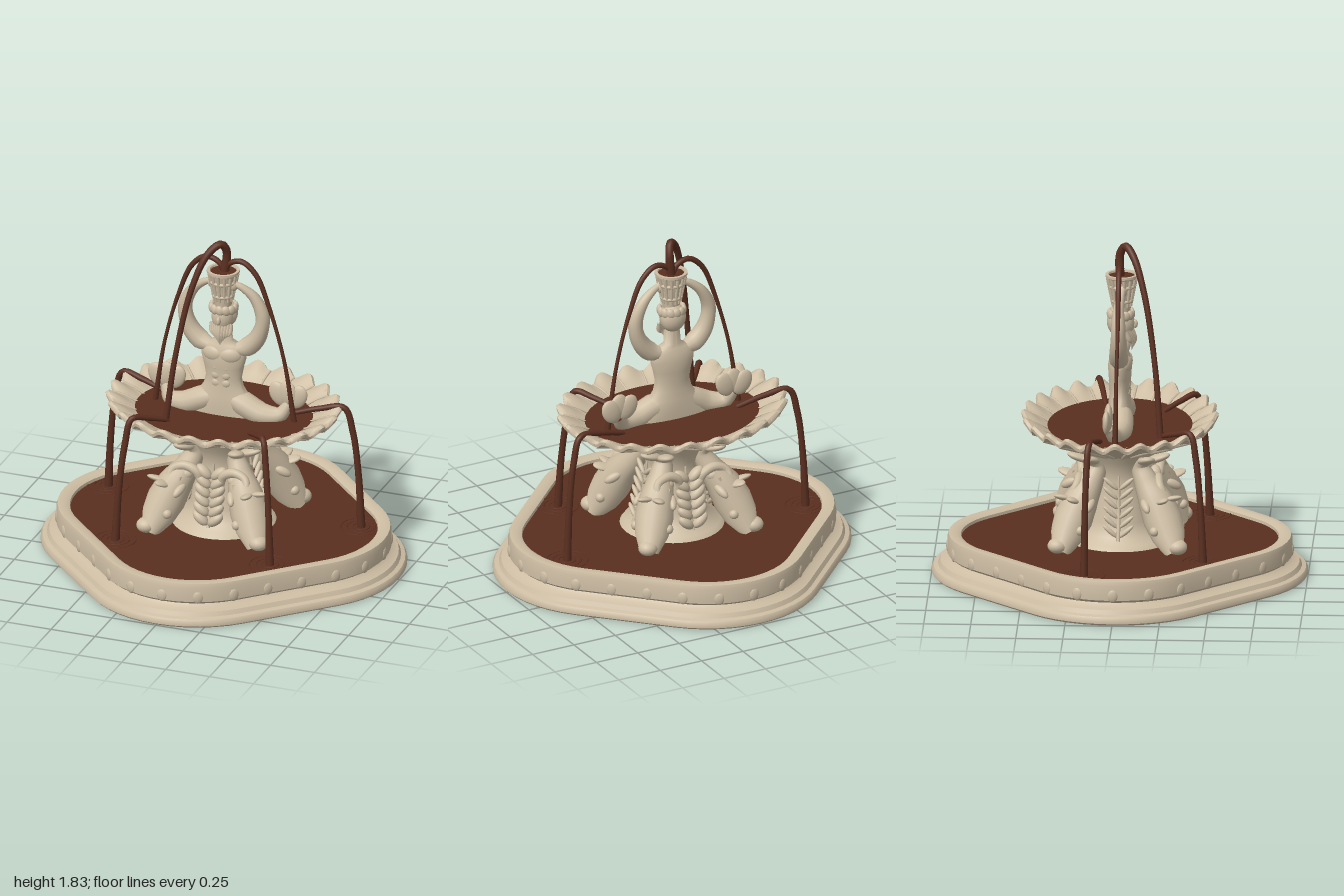
import * as THREE from 'three';
import { toCreasedNormals } from 'three/addons/utils/BufferGeometryUtils.js';

const stone = new THREE.MeshStandardMaterial({ color: 0xcdbda3 });
const water = new THREE.MeshStandardMaterial({ color: 0x5a2f20 });
const V = (p) => new THREE.Vector3(...p);

function add(parent, name, geo, mat = stone) {
  const m = new THREE.Mesh(geo, mat);
  m.name = name;
  parent.add(m);
  return m;
}

function group(parent, name) {
  const g = new THREE.Group();
  g.name = name;
  parent.add(g);
  return g;
}

// Ellipsoid with centre p, half sizes r and optional rotation
function ball(parent, name, p, r, rot = [0, 0, 0]) {
  const m = add(parent, name, new THREE.SphereGeometry(1, 18, 12));
  m.position.set(...p);
  m.scale.set(...r);
  m.rotation.set(...rot);
  return m;
}

// Tube through points whose radius follows a list of values
function tube(parent, name, pts, radii, mat = stone, seg = 36, sides = 12) {
  const curve = new THREE.CatmullRomCurve3(pts.map(V));
  const geo = new THREE.TubeGeometry(curve, seg, 1, sides);
  const pos = geo.attributes.position, v = new THREE.Vector3();
  for (let i = 0; i <= seg; i++) {
    const c = curve.getPointAt(i / seg);
    const f = (i / seg) * (radii.length - 1), k = Math.min(Math.floor(f), radii.length - 2);
    const r = THREE.MathUtils.lerp(radii[k], radii[k + 1], f - k);
    for (let j = 0; j <= sides; j++) {
      const n = i * (sides + 1) + j;
      v.fromBufferAttribute(pos, n).sub(c).multiplyScalar(r).add(c);
      pos.setXYZ(n, v.x, v.y, v.z);
    }
  }
  return add(parent, name, geo, mat);
}

// Surface from fn(u, row), u running once around the y axis
function loft(fn, nu, rows, crease = 0.6) {
  const pos = [], idx = [];
  for (let j = 0; j < rows; j++)
    for (let i = 0; i <= nu; i++) pos.push(...fn((i % nu) / nu, j));
  for (let j = 0; j < rows - 1; j++)
    for (let i = 0; i < nu; i++) {
      const a = j * (nu + 1) + i, c = a + nu + 2;
      idx.push(a, a + 1, c, a, c, c - 1);
    }
  const geo = new THREE.BufferGeometry();
  geo.setAttribute('position', new THREE.Float32BufferAttribute(pos, 3));
  geo.setIndex(idx);
  return toCreasedNormals(geo, crease);
}

// Rounded diamond outline reaching "reach" along x and z
function outline(u, reach) {
  const k = Math.round(u * 4), f = u * 4 - k, axis = k * Math.PI / 2;
  const a = axis + THREE.MathUtils.clamp(f / 0.3, -1, 1) * Math.PI / 4;
  const along = Math.sign(f) * Math.max(0, Math.abs(f) - 0.3) / 0.2 * 0.276, rho = reach - 0.39;
  return [0.39 * Math.sin(axis) + rho * Math.sin(a) + along * Math.cos(a),
    0.39 * Math.cos(axis) + rho * Math.cos(a) - along * Math.sin(a), a];
}

function basin(root) {
  const g = group(root, 'basin');
  const prof = [[0.99, 0], [1, 0.01], [1, 0.03], [0.99, 0.045], [0.967, 0.052], [0.955, 0.075], [0.915, 0.085],
    [0.9, 0.1], [0.917, 0.115], [0.917, 0.195], [0.91, 0.218], [0.87, 0.222], [0.845, 0.21], [0.835, 0.1]];
  add(g, 'basinWall', loft((u, j) => {
    const [x, z] = outline(u, prof[j][0]);
    return [x, prof[j][1], z];
  }, 80, prof.length));
  const disc = (reach, y, scales) => loft((u, j) => {
    const [x, z] = outline(u, reach);
    return [x * scales[j], y, z * scales[j]];
  }, 80, 2);
  add(g, 'basinUnderside', disc(0.99, 0, [0, 1]));
  add(g, 'poolWater', disc(0.842, 0.195, [1, 0]), water);
  for (let i = 0; i < 28; i++) {
    const [x, z, a] = outline(i / 28, 0.912);
    ball(g, 'rimBoss', [x, 0.14, z], [0.028, 0.036, 0.012], [0, a, 0]);
  }
}

function bowl(root) {
  const g = group(root, 'shellBowl');
  const prof = [[0, 0.69], [0.33, 0.69], [0.37, 0.705], [0.65, 0.775], [0.9, 0.832], [1, 0.85],
    [1.005, 0.868], [0.98, 0.88], [0.93, 0.868], [0.85, 0.845], [0.76, 0.81], [0.5, 0.76]];
  add(g, 'scallopedShell', loft((u, j) => {
    const [t, y] = prof[j], a = u * Math.PI * 2;
    const wave = Math.cos(24 * a) * (j > 8 ? t ** 8 : t * t);
    const r = t * (1 + 0.025 * wave);
    return [0.625 * r * Math.sin(a), y + 0.02 * wave, 0.51 * r * Math.cos(a)];
  }, 240, prof.length, 0.9));
  // Ribs under and inside the shell
  for (let i = 0; i < 24; i++) {
    const a = (i + 0.5) / 24 * Math.PI * 2, p = (t, y) => [0.625 * t * Math.sin(a), y, 0.51 * t * Math.cos(a)];
    tube(g, 'outerRib', [p(0.36, 0.7), p(0.65, 0.765), p(0.97, 0.835)], [0.008, 0.01, 0.01], stone, 6, 6);
    tube(g, 'innerRib', [p(0.74, 0.81), p(0.85, 0.842), p(0.95, 0.86)], [0.006, 0.007, 0.007], stone, 6, 6);
  }
  const w = add(g, 'bowlWater', new THREE.CircleGeometry(1, 64).rotateX(-Math.PI / 2), water);
  w.scale.set(0.485, 1, 0.385);
  w.position.y = 0.822;
}

function pedestal(root) {
  const g = group(root, 'pedestal');
  const prof = [[0.29, 0.18], [0.26, 0.22], [0.2, 0.25], [0.175, 0.32], [0.155, 0.45], [0.14, 0.54],
    [0.15, 0.6], [0.17, 0.65], [0.2, 0.7]];
  add(g, 'column', new THREE.LatheGeometry(prof.map((p) => new THREE.Vector2(...p)), 40));
  // Diving fish at the four diagonals
  for (let i = 0; i < 4; i++) {
    const f = group(g, 'fish');
    f.rotation.y = Math.PI / 4 + i * Math.PI / 2;
    tube(f, 'fishBody', [[0.43, 0.2, 0], [0.385, 0.28, 0], [0.34, 0.36, 0], [0.285, 0.45, 0], [0.205, 0.55, 0],
      [0.16, 0.63, 0], [0.2, 0.69, 0]], [0.05, 0.09, 0.104, 0.094, 0.072, 0.052, 0.03], stone, 40, 18);
    ball(f, 'fishSnout', [0.45, 0.24, 0], [0.055, 0.042, 0.052]);
    for (const s of [-1, 1]) {
      ball(f, 'fishEye', [0.37, 0.325, s * 0.092], [0.026, 0.026, 0.024]);
      ball(f, 'fishTail', [0.25, 0.68, s * 0.04], [0.075, 0.022, 0.045], [0, -s * 0.5, 0.35]);
      // Leafy fins on the back and flanks
      ball(f, 'backFin', [0.365, 0.48, s * 0.032], [0.065, 0.016, 0.034], [s * 0.3, -s * 0.4, 0.4]);
      ball(f, 'sideFin', [0.3, 0.45, s * 0.092], [0.05, 0.024, 0.022], [0, -s * 0.4, -0.5]);
    }
  }
  // Leaf garlands between the fish, fuller with scrolls at front and back
  for (let i = 0; i < 4; i++) {
    const l = group(g, 'garland'), full = i % 2 === 0;
    l.rotation.y = i * Math.PI / 2;
    tube(l, 'garlandStem', [[0, 0.24, 0.235], [0, 0.4, 0.175], [0, 0.58, 0.15]], [0.01, 0.012, 0.006], stone, 10, 8);
    for (let k = 0; k < 6; k++)
      for (const s of [-1, 1])
        ball(l, 'leaf', [s * 0.042, 0.29 + k * 0.05, (full ? 0.235 : 0.215) - k * 0.01],
          full ? [0.028, 0.052, 0.032] : [0.013, 0.05, 0.014], [0, 0, -s * 0.85]);
    if (!full) continue;
    for (const s of [-1, 1]) {
      tube(l, 'scroll', [[s * 0.06, 0.47, 0.19], [s * 0.075, 0.54, 0.205], [s * 0.14, 0.57, 0.21], [s * 0.205, 0.545, 0.22],
        [s * 0.215, 0.5, 0.245], [s * 0.165, 0.485, 0.255], [s * 0.15, 0.52, 0.25]],
        [0.014, 0.024, 0.026, 0.024, 0.022, 0.018, 0.006], stone, 30, 10);
      ball(l, 'scrollBud', [s * 0.14, 0.52, 0.2], [0.04, 0.035, 0.035]);
    }
  }
}

function figure(root) {
  const g = group(root, 'merman');
  const rows = [[0.82, 0.24, 0.065], [0.88, 0.2, 0.067], [0.93, 0.145, 0.063], [0.98, 0.112, 0.057], [1.03, 0.1, 0.055],
    [1.09, 0.11, 0.06], [1.15, 0.127, 0.064], [1.2, 0.125, 0.055], [1.225, 0.095, 0.045], [1.245, 0.05, 0.038],
    [1.34, 0.04, 0.036]];
  add(g, 'torso', loft((u, j) => {
    const a = u * Math.PI * 2, [y, rx, rz] = rows[j];
    return [rx * Math.sin(a), y, rz * Math.cos(a)];
  }, 36, rows.length, 2));
  for (const s of [-1, 1]) {
    ball(g, 'chestMuscle', [s * 0.052, 1.168, 0.036], [0.06, 0.045, 0.028], [0, s * 0.25, 0]);
    for (let k = 0; k < 3; k++) ball(g, 'bellyMuscle', [s * 0.026, 1.095 - k * 0.045, 0.042], [0.029, 0.026, 0.017]);
    tube(g, 'arm', [[s * 0.06, 1.19, 0], [s * 0.14, 1.225, 0], [s * 0.2, 1.3, 0], [s * 0.22, 1.41, 0],
      [s * 0.175, 1.51, 0], [s * 0.11, 1.565, 0.01], [s * 0.05, 1.59, 0.02]],
      [0.03, 0.053, 0.048, 0.04, 0.038, 0.03, 0.022, 0.014]);
    ball(g, 'hand', [s * 0.06, 1.575, 0.015], [0.026, 0.034, 0.026]);
    tube(g, 'tail', [[s * 0.02, 0.92, 0], [s * 0.12, 0.885, 0.01], [s * 0.22, 0.845, 0.01], [s * 0.31, 0.845, -0.015],
      [s * 0.35, 0.9, -0.045]], [0.045, 0.068, 0.064, 0.048, 0.026]);
    // Rounded, overlapping tail fin
    for (const [x, y, z, tilt] of [[0.295, 0.95, -0.05, 0.5], [0.345, 0.96, -0.045, 0.1], [0.395, 0.945, -0.055, -0.5]])
      ball(g, 'tailFin', [s * x, y, z], [0.054, 0.072, 0.022], [0, 0, s * tilt]);
  }
  // Head with beard, hair and a crown of leaves
  ball(g, 'head', [0, 1.385, 0.018], [0.06, 0.082, 0.06]);
  ball(g, 'nose', [0, 1.38, 0.08], [0.012, 0.024, 0.015]);
  ball(g, 'hair', [0, 1.395, -0.012], [0.072, 0.08, 0.058]);
  for (let k = -4; k <= 4; k++)
    tube(g, 'beardLock', [[k * 0.014, 1.355, 0.064 - Math.abs(k) * 0.007], [k * 0.012, 1.3, 0.076 - Math.abs(k) * 0.006],
      [k * 0.007, 1.235 + Math.abs(k) * 0.012, 0.06]], [0.01, 0.016, 0.002], stone, 8, 8);
  for (let k = 0; k < 12; k++) {
    const a = k / 12 * Math.PI * 2;
    ball(g, 'crownLeaf', [0.066 * Math.sin(a), 1.435, 0.005 + 0.06 * Math.cos(a)], [0.024, 0.028, 0.016], [0, a, 0.4]);
  }
  // Slatted vase on the head
  const v = group(g, 'vase');
  v.position.z = 0.01;
  const prof = [[0, 1.45], [0.045, 1.45], [0.05, 1.49], [0.068, 1.6], [0.076, 1.635], [0.088, 1.642], [0.088, 1.655],
    [0.072, 1.655], [0.06, 1.6]];
  add(v, 'vaseWall', toCreasedNormals(new THREE.LatheGeometry(prof.map((p) => new THREE.Vector2(...p)), 32), 0.6));
  for (let k = 0; k < 14; k++) {
    const a = k / 14 * Math.PI * 2, p = (r, y) => [r * Math.sin(a), y, r * Math.cos(a)];
    tube(v, 'vaseSlat', [p(0.05, 1.48), p(0.063, 1.56), p(0.077, 1.635)], [0.006, 0.009, 0.01], stone, 4, 6);
  }
  for (const [r, y] of [[0.054, 1.51], [0.068, 1.59]]) {
    const band = add(v, 'vaseBand', new THREE.TorusGeometry(r, 0.009, 8, 32).rotateX(Math.PI / 2));
    band.position.y = y;
  }
  const top = add(v, 'vaseWater', new THREE.CircleGeometry(0.072, 32).rotateX(-Math.PI / 2), water);
  top.position.y = 1.645;
}

function jets(root) {
  const g = group(root, 'waterJets');
  tube(g, 'frontJet', [[0.005, 1.64, 0], [0.015, 1.76, 0], [-0.005, 1.81, 0.03], [-0.06, 1.765, 0.075], [-0.13, 1.58, 0.135],
    [-0.2, 1.2, 0.195], [-0.245, 0.82, 0.225]], [0.024, 0.021, 0.017, 0.016, 0.015, 0.016, 0.018], water, 60);
  for (const s of [-1, 1]) {
    tube(g, 'sideJet', [[0, 1.64, 0], [s * 0.03, 1.69, 0], [s * 0.1, 1.712, 0], [s * 0.18, 1.65, 0], [s * 0.26, 1.46, 0],
      [s * 0.34, 1.17, -0.005], [s * 0.395, 0.82, -0.01]], [0.015, 0.015, 0.013, 0.01, 0.01, 0.012, 0.016], water, 60);
    // Spills over the shell into the pool, with ripples where they land
    const spills = [[[0.34, 0.825, -0.09], [0.5, 0.87, -0.115], [0.63, 0.885, -0.14], [0.675, 0.75, -0.15],
      [0.705, 0.5, -0.157], [0.72, 0.19, -0.16]],
    [[0.23, 0.825, 0.22], [0.31, 0.862, 0.31], [0.375, 0.88, 0.39], [0.4, 0.75, 0.42], [0.425, 0.5, 0.445],
      [0.44, 0.19, 0.46]]];
    for (const path of spills) {
      tube(g, 'spill', path.map(([x, y, z]) => [s * x, y, z]), [0.013, 0.016, 0.018, 0.017, 0.019, 0.023], water, 48);
      const [x, , z] = path[5];
      for (const r of [0.045, 0.075, 0.11]) {
        const ring = add(g, 'ripple', new THREE.TorusGeometry(r, 0.003, 6, 40).rotateX(Math.PI / 2), water);
        ring.position.set(s * x, 0.195, z);
      }
    }
  }
}

export function createModel() {
  const root = new THREE.Group();
  root.name = 'fountain';
  for (const part of [basin, pedestal, bowl, figure, jets]) part(root);
  return root;
}
